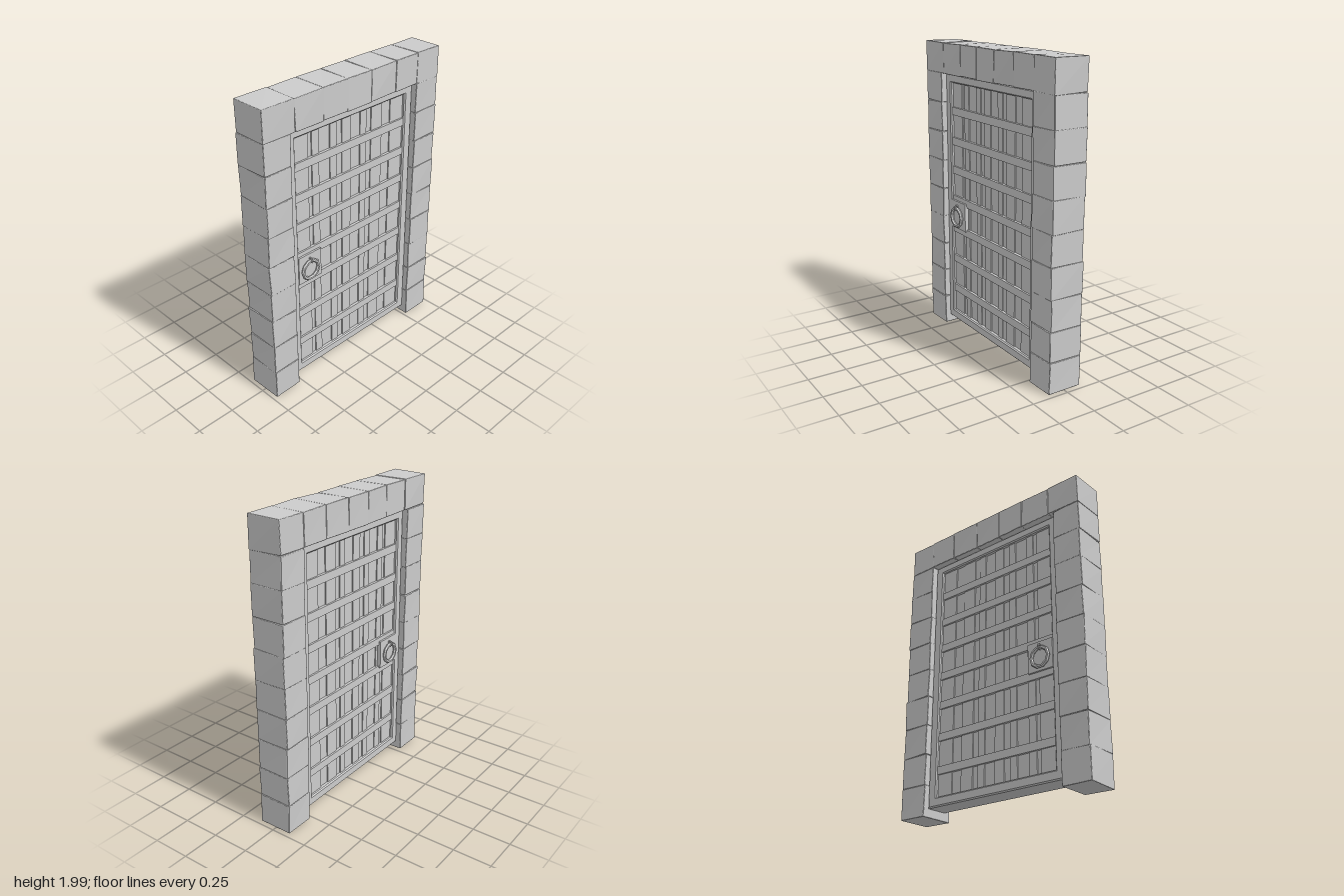
import * as THREE from 'three';
import { RoundedBoxGeometry } from 'three/addons/geometries/RoundedBoxGeometry.js';

const grey = new THREE.MeshStandardMaterial({ color: 0xcccccc });
const faceted = new THREE.MeshStandardMaterial({ color: 0xcccccc, flatShading: true });

let seed = 7;
const rand = () => {
  seed = (seed * 16807) % 2147483647;
  return seed / 2147483647 - 0.5;
};

function add(parent, name, geometry, material = grey) {
  const mesh = new THREE.Mesh(geometry, material);
  mesh.name = name;
  parent.add(mesh);
  return mesh;
}

// Box given by its limits, symmetric in z
function slab(parent, name, x0, x1, y0, y1, halfDepth) {
  const mesh = add(parent, name, new THREE.BoxGeometry(x1 - x0, y1 - y0, 2 * halfDepth));
  mesh.position.set((x0 + x1) / 2, (y0 + y1) / 2, 0);
  return mesh;
}

// Hewn stone: a softened box whose eight corners are nudged
function stone(parent, x0, x1, y0, y1) {
  const size = [x1 - x0 + 0.002, y1 - y0 + 0.002, 0.23];
  const geo = new RoundedBoxGeometry(...size, 2, 0.005);
  const nudges = Array.from({ length: 8 }, () => [rand() * 0.007, rand() * 0.007, rand() * 0.007]);
  const pos = geo.attributes.position;
  for (let i = 0; i < pos.count; i++) {
    const p = [pos.getX(i), pos.getY(i), pos.getZ(i)];
    const t = p.map((v, k) => v / size[k] + 0.5);
    const out = [...p];
    nudges.forEach((n, c) => {
      let w = 1;
      for (let k = 0; k < 3; k++) w *= (c >> k) & 1 ? t[k] : 1 - t[k];
      for (let k = 0; k < 3; k++) out[k] += n[k] * w;
    });
    pos.setXYZ(i, ...out);
  }
  geo.computeVertexNormals();
  add(parent, 'stone', geo).position.set((x0 + x1) / 2, (y0 + y1) / 2, 0);
}

export function createModel() {
  const model = new THREE.Group();
  model.name = 'doorway';
  const group = (name, parent = model) => {
    const g = new THREE.Group();
    g.name = name;
    parent.add(g);
    return g;
  };

  // Stone jambs
  const courses = [0.008, 0.21, 0.41, 0.608, 0.808, 1.005, 1.203, 1.402, 1.6, 1.795];
  const rightJamb = group('rightJamb');
  const leftJamb = group('leftJamb');
  for (let i = 0; i < 9; i++) {
    stone(rightJamb, -0.724, -0.53, courses[i], courses[i + 1]);
    stone(leftJamb, 0.522, 0.721, courses[i], courses[i + 1]);
  }

  // Stone lintel
  const lintel = group('lintel');
  const joints = [-0.722, -0.492, -0.28, -0.085, 0.112, 0.324, 0.522, 0.721];
  for (let i = 0; i < 7; i++) stone(lintel, joints[i], joints[i + 1], 1.795, 1.994);

  // Door frame with chamfered edges
  const door = group('door');
  const frame = new THREE.Shape();
  frame.moveTo(-0.52, 0.07).lineTo(0.512, 0.07).lineTo(0.512, 1.785).lineTo(-0.52, 1.785).closePath();
  const opening = new THREE.Path();
  opening.moveTo(-0.476, 0.116).lineTo(-0.476, 1.744).lineTo(0.462, 1.744).lineTo(0.462, 0.116).closePath();
  frame.holes.push(opening);
  const frameGeo = new THREE.ExtrudeGeometry(frame, {
    depth: 0.144, bevelSize: 0.008, bevelThickness: 0.008, bevelSegments: 1,
  });
  frameGeo.translate(0, 0, -0.072);
  add(door, 'doorFrame', frameGeo);

  // Upright planks of alternating depth
  const planks = group('planks', door);
  const edges = [-0.472, -0.355, -0.325, -0.27, -0.18, -0.127, -0.08, -0.008, 0.074, 0.127, 0.17, 0.265, 0.34, 0.458];
  for (let i = 0; i < edges.length - 1; i++) {
    slab(planks, 'plank', edges[i], edges[i + 1], 0.115, 1.74, i % 2 ? 0.053 : 0.06);
  }

  // Cross bars
  const bars = group('crossBars', door);
  for (const y of [0.295, 0.516, 0.735, 0.942, 1.147, 1.345, 1.548]) {
    slab(bars, 'crossBar', -0.472, 0.458, y - 0.026, y + 0.026, 0.072);
  }

  // Handle plate, with a ring and staple on each face
  slab(door, 'handlePlate', -0.474, -0.29, 0.748, 0.94, 0.085);
  for (const side of [1, -1]) {
    const handle = group(side > 0 ? 'frontHandle' : 'backHandle', door);
    handle.position.set(-0.387, 0.832, side * 0.085);
    const ring = add(handle, 'ring', new THREE.TorusGeometry(0.063, 0.012, 6, 10), faceted);
    ring.position.z = side * 0.011;
    const staple = add(handle, 'staple', new THREE.TorusGeometry(0.016, 0.006, 6, 8), faceted);
    staple.rotation.y = Math.PI / 2;
    staple.position.set(0, 0.066, side * 0.01);
  }
  return model;
}
